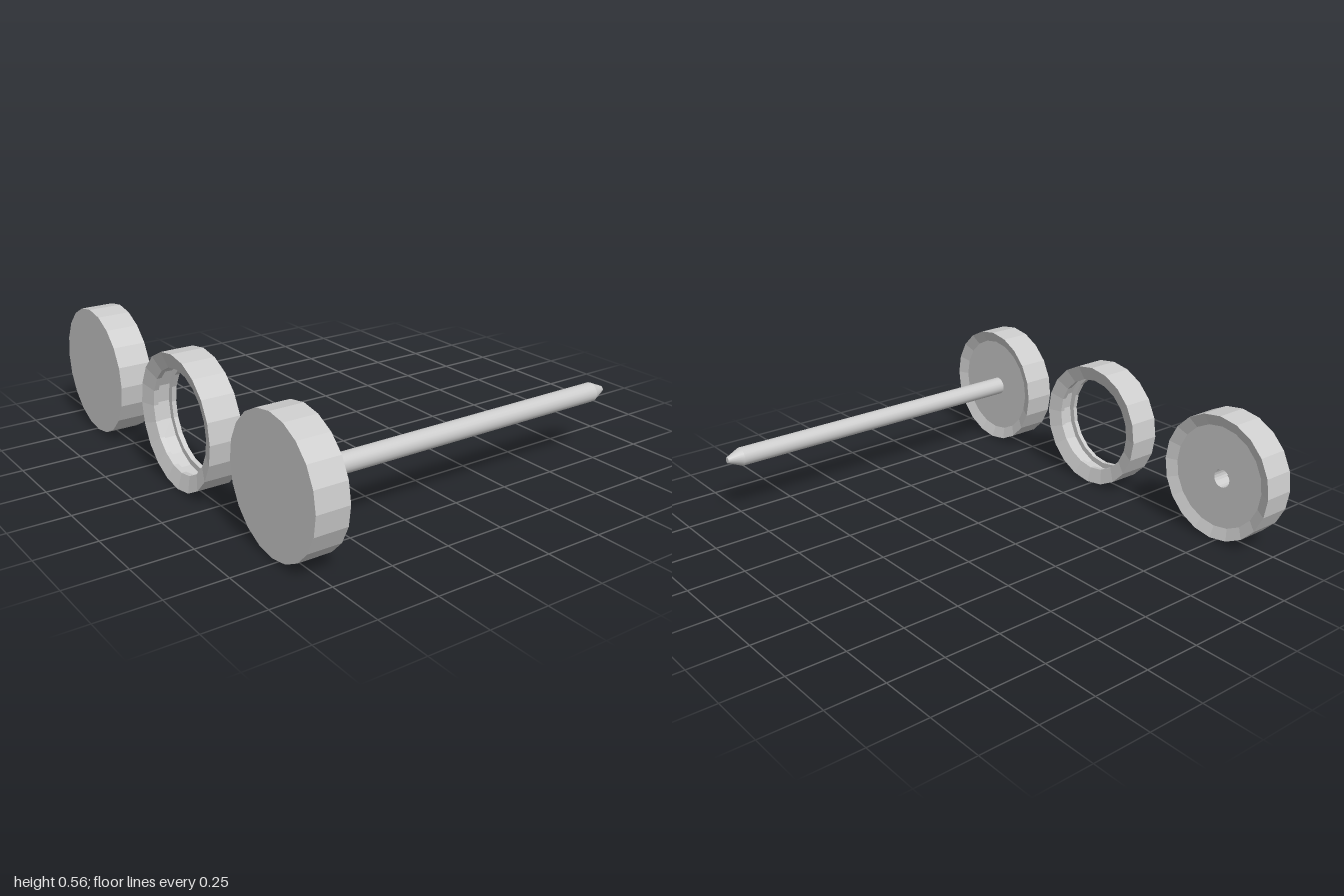
import * as THREE from 'three';

const SIDES = 20;
const MID_Y = 0.284;
const FRONT = 0.815;
const BACK = 0.675;
const FLOOR = BACK + 0.02;
const FLOOR_RADIUS = 0.225;
const PIN_OFFSET = -0.02;

const faceted = new THREE.MeshStandardMaterial({ color: 0xcccccc, flatShading: true, side: THREE.DoubleSide });
const smooth = new THREE.MeshStandardMaterial({ color: 0xcccccc, side: THREE.DoubleSide });

// Turn a [radius, z] profile around the z axis
function turned(name, profile, sides, material) {
  const points = profile.map(([r, z]) => new THREE.Vector2(r, z));
  const geometry = new THREE.LatheGeometry(points, sides).rotateX(Math.PI / 2);
  const mesh = new THREE.Mesh(geometry, material);
  mesh.name = name;
  return mesh;
}

// Cap with a sloping rim and a shallow dish in the back, optionally with a pin socket
function cap(name, socketRadius) {
  const group = new THREE.Group();
  group.name = name;
  group.add(turned('capShell', [
    [FLOOR_RADIUS, FLOOR], [0.275, BACK], [0.275, FRONT], [0, FRONT],
  ], SIDES, faceted));

  const shape = new THREE.Shape().absarc(0, 0, FLOOR_RADIUS, 0, Math.PI * 2);
  if (socketRadius) {
    shape.holes.push(new THREE.Path().absarc(-PIN_OFFSET, 0, socketRadius, 0, Math.PI * 2, true));
    const socket = turned('pinSocket', [
      [0, FLOOR + 0.08], [socketRadius, FLOOR + 0.08], [socketRadius, FLOOR],
    ], SIDES, faceted);
    socket.position.x = PIN_OFFSET;
    group.add(socket);
  }
  const floor = new THREE.Mesh(new THREE.ShapeGeometry(shape, SIDES).rotateY(Math.PI), faceted);
  floor.name = 'capFloor';
  floor.position.z = FLOOR;
  group.add(floor);
  return group;
}

export function createModel() {
  const model = new THREE.Group();
  model.name = 'pinAndCapSet';

  // Plain cap with socket
  const socketCap = cap('socketCap', 0.04);
  socketCap.position.set(-0.725, MID_Y, 0);

  // Open ring with sloping lips and an inner groove
  const ring = turned('spacerRing', [
    [0.215, FLOOR], [0.28, BACK], [0.28, FRONT], [0.215, FRONT - 0.02],
    [0.215, FRONT - 0.04], [0.24, FRONT - 0.04], [0.24, BACK + 0.04],
    [0.215, BACK + 0.04], [0.215, FLOOR],
  ], SIDES, faceted);
  ring.position.set(0.023, MID_Y, 0);

  // Cap carrying the long pin
  const pinCap = cap('pinCap', 0);
  pinCap.position.set(0.725, MID_Y, 0);
  const shaft = turned('pinShaft', [[0.041, -0.75], [0.041, FLOOR + 0.01]], SIDES, smooth);
  const tip = turned('pinTip', [[0.013, -0.815], [0.041, -0.75]], SIDES, smooth);
  const end = turned('pinEnd', [[0, -0.815], [0.013, -0.815]], SIDES, smooth);
  for (const part of [shaft, tip, end]) {
    part.position.x = PIN_OFFSET;
    pinCap.add(part);
  }

  model.add(socketCap, ring, pinCap);
  return model;
}
